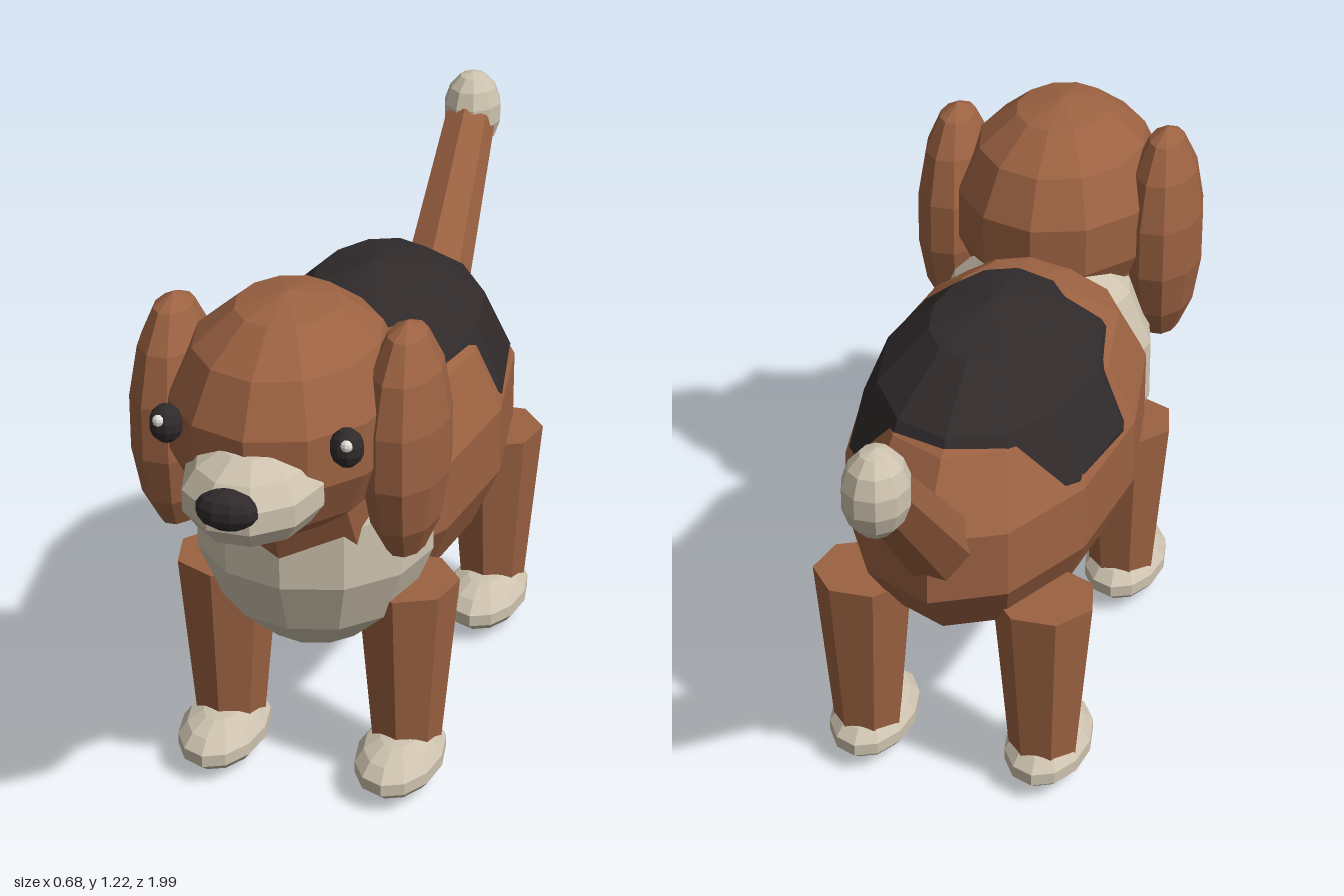
import * as THREE from 'three';

const mat = (name, color) => {
  const m = new THREE.MeshStandardMaterial({ color, flatShading: true });
  m.name = name;
  return m;
};

export function createModel() {
  const brown = mat('brown fur', 0x9c6242);
  const cream = mat('cream fur', 0xcdc2ae);
  const black = mat('black fur', 0x302a2b);
  const white = mat('eye shine', 0xe6e2dc);
  const dog = new THREE.Group();
  dog.name = 'dog';

  // Faceted ellipsoid: centre, radii
  const blob = (name, material, [x, y, z], [rx, ry, rz], sides = 12, rows = 7) => {
    const g = new THREE.SphereGeometry(1, sides, rows).scale(rx, ry, rz);
    const m = new THREE.Mesh(g, material);
    m.name = name;
    m.position.set(x, y, z);
    dog.add(m);
    return m;
  };

  // Tapered cylinder running from a to b
  const limb = (name, material, a, b, ra, rb, sides = 7) => {
    const from = new THREE.Vector3(...a), to = new THREE.Vector3(...b);
    const dir = to.clone().sub(from);
    const m = new THREE.Mesh(new THREE.CylinderGeometry(rb, ra, dir.length(), sides), material);
    m.name = name;
    m.position.copy(from).add(to).multiplyScalar(0.5);
    m.quaternion.setFromUnitVectors(new THREE.Vector3(0, 1, 0), dir.normalize());
    dog.add(m);
    return m;
  };

  // Trunk
  blob('body', brown, [0, 0.65, 0], [0.32, 0.345, 0.6]);
  blob('saddlePatch', black, [0, 0.67, -0.06], [0.307, 0.358, 0.48]);
  blob('chest', cream, [0, 0.64, 0.377], [0.269, 0.315, 0.27]);
  limb('neck', brown, [0, 0.62, 0.38], [0, 0.9, 0.535], 0.23, 0.2, 8);

  // Head
  blob('head', brown, [0, 0.965, 0.56], [0.248, 0.26, 0.305]);
  blob('muzzle', cream, [0, 0.895, 0.79], [0.15, 0.106, 0.18], 10);
  blob('nose', black, [0, 0.927, 0.962], [0.066, 0.043, 0.04], 10);

  for (const [side, s] of [['left', 1], ['right', -1]]) {
    blob(side + 'Ear', brown, [s * 0.25, 0.915, 0.548], [0.093, 0.27, 0.148], 10);
    blob(side + 'Eye', black, [s * 0.19, 1.0, 0.776], [0.036, 0.042, 0.034], 10);
    blob(side + 'EyeShine', white, [s * 0.197, 1.016, 0.802], [0.013, 0.013, 0.011], 8, 6);

    // Legs and paws
    for (const [end, legZ, pawZ] of [['Front', 0.382, 0.425], ['Back', -0.377, -0.33]]) {
      limb(side + end + 'Leg', brown, [s * 0.205, 0.08, legZ], [s * 0.205, 0.49, legZ], 0.078, 0.115);
      blob(side + end + 'Paw', cream, [s * 0.205, 0.066, pawZ], [0.098, 0.062, 0.162], 12);
    }
  }

  // Tail
  limb('tail', brown, [0, 0.66, -0.49], [0, 1.05, -0.885], 0.088, 0.063);
  blob('tailTip', cream, [0, 1.066, -0.917], [0.072, 0.099, 0.082], 10);

  return dog;
}
